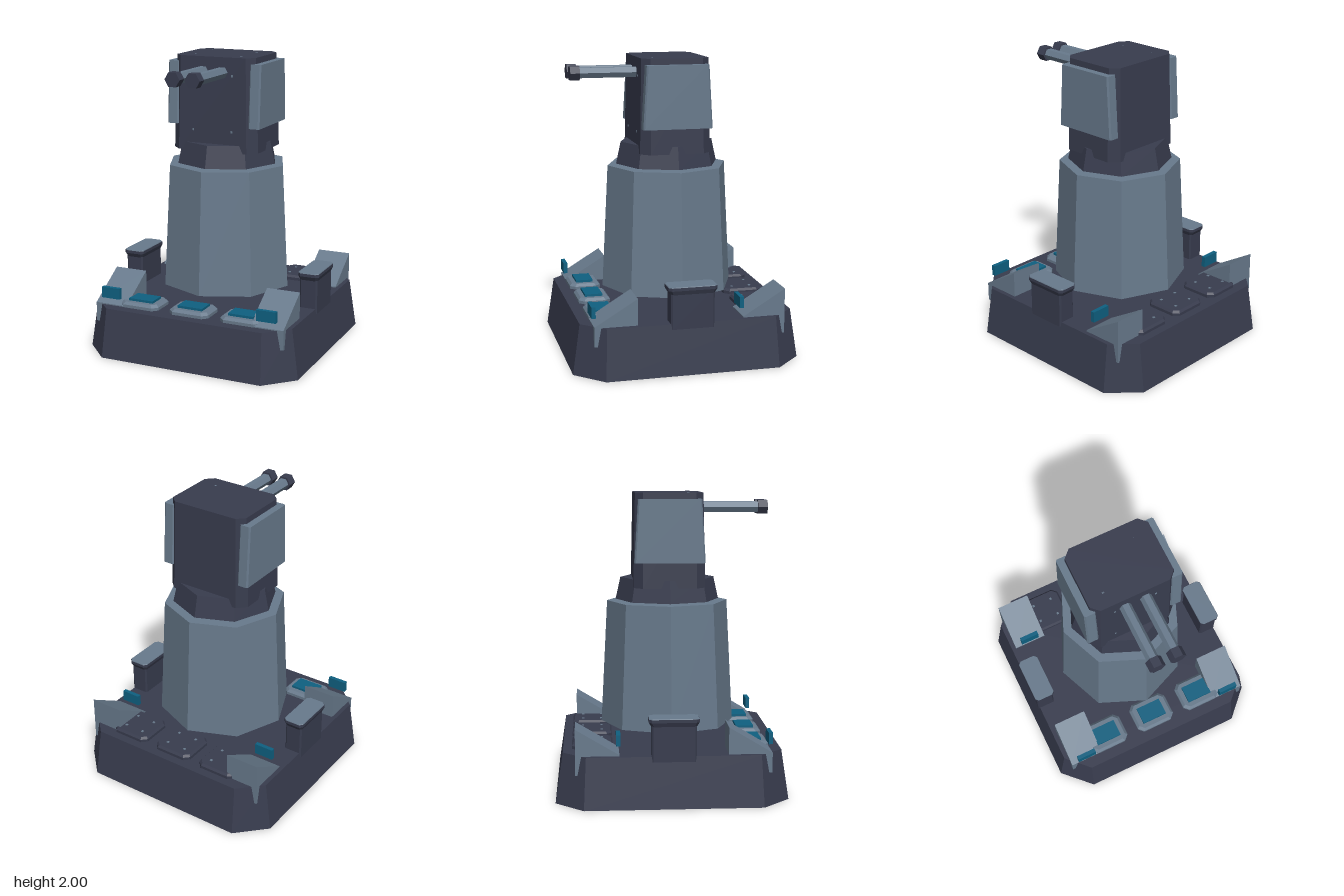
import * as THREE from 'three';

const mat = (name, color) => {
  const m = new THREE.MeshStandardMaterial({ color });
  m.name = name;
  return m;
};

// Chamfered-rectangle outline, counter-clockwise seen from above
const outline = ([y, hx, hz, c]) => [
  [hx, hz - c], [hx, c - hz], [hx - c, -hz], [c - hx, -hz],
  [-hx, c - hz], [-hx, hz - c], [c - hx, hz], [hx - c, hz],
].map(([x, z]) => [x, y, z]);

// Flat-shaded solid through stacked outlines [y, halfX, halfZ, chamfer]
function loft(levels, bottom = true) {
  const rings = levels.map(outline), p = [];
  const fan = (r) => { for (let i = 1; i < r.length - 1; i++) p.push(...r[0], ...r[i], ...r[i + 1]); };
  for (let k = 0; k < rings.length - 1; k++) {
    const lo = rings[k], hi = rings[k + 1];
    for (let i = 0; i < 8; i++) {
      const j = (i + 1) % 8;
      p.push(...lo[i], ...lo[j], ...hi[j], ...lo[i], ...hi[j], ...hi[i]);
    }
  }
  fan(rings[rings.length - 1]);
  if (bottom) fan([...rings[0]].reverse());
  const g = new THREE.BufferGeometry();
  g.setAttribute('position', new THREE.Float32BufferAttribute(p, 3));
  g.computeVertexNormals();
  return g;
}

export function createModel() {
  const root = new THREE.Group();
  root.name = 'gunTower';
  const dark = mat('darkArmour', 0x383c4e);
  const light = mat('slateArmour', 0x687a8c);
  const teal = mat('tealLight', 0x0f6080);
  const shell = mat('baseArmour', 0x383c4e);
  shell.side = THREE.DoubleSide;
  dark.flatShading = light.flatShading = true;

  const add = (name, geo, material, x = 0, y = 0, z = 0) => {
    const m = new THREE.Mesh(geo, material);
    m.name = name;
    m.position.set(x, y, z);
    root.add(m);
    return m;
  };
  const box = (w, h, d) => new THREE.BoxGeometry(w, h, d);

  // Base shell, open underneath
  add('base', loft([[0, 0.765, 0.765, 0.185], [0.335, 0.715, 0.715, 0.15]], false), shell);

  // Octagonal tower and turret collar
  add('tower', new THREE.CylinderGeometry(0.412, 0.456, 0.84, 8), light, 0, 0.842);
  add('collar', new THREE.CylinderGeometry(0.32, 0.353, 0.15, 8), dark, 0, 1.347);

  // Turret head with side armour
  add('head', loft([[1.37, 0.308, 0.24, 0.06], [2, 0.285, 0.227, 0.05]]), dark);
  const panel = loft([[1.54, 0.04, 0.235, 0.01], [1.96, 0.04, 0.21, 0.01]]);

  // Hexagonal barrels along z
  const barrel = new THREE.CylinderGeometry(0.039, 0.039, 0.42, 6).rotateX(Math.PI / 2);
  barrel.rotateZ(Math.PI / 2);
  const muzzle = new THREE.CylinderGeometry(0.053, 0.053, 0.065, 6).rotateX(Math.PI / 2);
  muzzle.rotateZ(Math.PI / 2);

  // Side pods
  const podBody = loft([[0.3, 0.062, 0.145, 0.01], [0.55, 0.062, 0.145, 0.01]]);
  const podCap = loft([[0.53, 0.062, 0.147, 0.015], [0.558, 0.073, 0.163, 0.02], [0.578, 0.073, 0.163, 0.02]]);
  const podTop = loft([[0.578, 0.072, 0.162, 0.02], [0.583, 0.07, 0.16, 0.02]]);

  // Corner wedge: side profile in z and y, extruded across x
  const wedgeShape = new THREE.Shape([
    [-0.142, 0.21], [0.142, 0.21], [0.142, 0.342], [-0.142, 0.513],
  ].map(([z, y]) => new THREE.Vector2(z, y)));
  const wedge = new THREE.ExtrudeGeometry(wedgeShape, { depth: 0.232, bevelEnabled: false });
  wedge.translate(0, 0, -0.116).rotateY(-Math.PI / 2);

  for (const s of [-1, 1]) {
    add('sideArmour', panel, light, s * 0.295);
    add('barrel', barrel, light, s * 0.07, 1.9, 0.42);
    add('muzzle', muzzle, dark, s * 0.07, 1.9, 0.643);
    add('podBody', podBody, dark, s * 0.662);
    add('podCap', podCap, dark, s * 0.662);
    add('podTop', podTop, light, s * 0.662);
    for (const z of [0.498, -0.492]) {
      add('cornerWedge', wedge, light, s * 0.569, 0, z);
      add('wedgeLight', box(0.135, 0.075, 0.028), teal, s * 0.567, 0.423, z + 0.137);
    }
  }

  // Deck pads: lit ones in front, plain bolted hatches behind
  const frontPad = loft([[0.32, 0.142, 0.108, 0.035], [0.355, 0.142, 0.108, 0.035], [0.372, 0.125, 0.092, 0.03]]);
  const backPad = loft([[0.32, 0.142, 0.135, 0.035], [0.355, 0.142, 0.135, 0.035], [0.37, 0.13, 0.123, 0.03]]);
  const bolt = box(0.016, 0.006, 0.016);
  for (const i of [-1, 0, 1]) {
    add('frontPad', frontPad, light, i * 0.37, 0, 0.534);
    add('padLight', box(0.18, 0.03, 0.12), teal, i * 0.367, 0.373, 0.535);
    add('backHatch', backPad, dark, i * 0.362, 0, -0.522);
    for (const dx of [-0.07, 0.07])
      for (const dz of [-0.065, 0.065])
        add('hatchBolt', bolt, light, i * 0.362 + dx, 0.371, -0.522 + dz);
  }

  // Bolts on the turret roof and faces
  for (const x of [-0.17, 0.16]) {
    for (const z of [-0.13, 0.13]) add('roofBolt', box(0.016, 0.004, 0.016), light, x, 1.998, z);
  }
  for (const x of [-0.14, 0.14]) {
    for (const y of [1.51, 1.88])
      add('faceBolt', box(0.012, 0.014, 0.006), light, x, y, 0.24 - (y - 1.37) * 0.0206);
  }
  return root;
}
